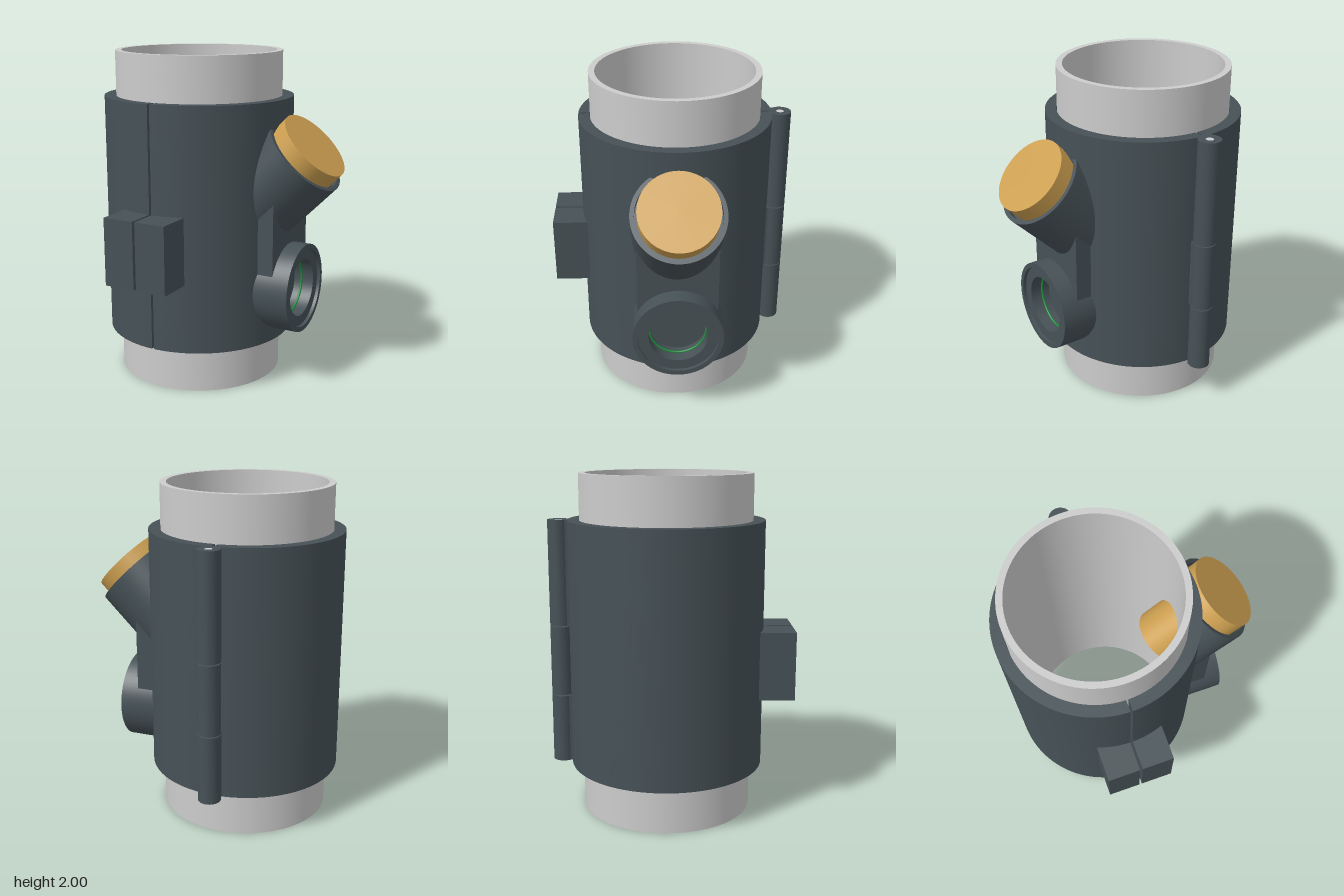
import * as THREE from 'three';
import { toCreasedNormals } from 'three/addons/utils/BufferGeometryUtils.js';

const CX = -0.18, CZ = -0.03; // main pipe axis
const material = (name, color) => {
  const m = new THREE.MeshStandardMaterial({ color, side: THREE.DoubleSide });
  m.name = name;
  return m;
};

export function createModel() {
  const model = new THREE.Group();
  model.name = 'pipeSaddleClamp';
  const pipeGrey = material('pipe grey', 0xcccccc);
  const slate = material('dark slate', 0x465156);
  const brass = material('brass', 0xcc9f50);
  const green = material('seal green', 0x1f8a3c);

  const add = (name, geometry, mat, x = 0, y = 0, z = 0, parent = model) => {
    const mesh = new THREE.Mesh(geometry, mat);
    mesh.name = name;
    mesh.position.set(x, y, z);
    parent.add(mesh);
    return mesh;
  };
  const crease = (g) => toCreasedNormals(g, 0.6);
  const lathe = (pts, n = 64) =>
    crease(new THREE.LatheGeometry(pts.map(([r, y]) => new THREE.Vector2(r, y)), n));
  // Hollow cylinder standing on y0
  const tube = (ro, ri, y0, y1, n) =>
    lathe([[ri, y0], [ro, y0], [ro, y1], [ri, y1], [ri, y0]], n);

  // Main pipe
  add('mainPipe', tube(0.505, 0.468, 0, 2, 96), pipeGrey, CX, 0, CZ);

  // Two clamp half shells with a narrow slit at front and back, and closing lugs
  for (const side of [1, -1]) {
    const label = side > 0 ? 'left' : 'right';
    const gap = 0.007, ro = 0.575, ri = 0.507;
    const turn = side > 0 ? 0 : Math.PI;
    const ao = Math.PI / 2 - gap / ro, ai = Math.PI / 2 - gap / ri;
    const half = new THREE.Shape();
    half.absarc(0, 0, ro, turn - ao, turn + ao, false);
    half.absarc(0, 0, ri, turn + ai, turn - ai, true);
    half.closePath();
    const shell = new THREE.ExtrudeGeometry(half, { depth: 1.46, bevelEnabled: false, curveSegments: 64 });
    shell.rotateX(-Math.PI / 2);
    add(label + 'ClampHalf', crease(shell), slate, CX, 0.272, CZ);
    add(label + 'Lug', new THREE.BoxGeometry(0.193, 0.405, 0.235), slate,
      CX + side * (0.008 + 0.0965), 0.895, 0.6025);
  }

  // Hinge: three knuckles on a pin, each with a small leaf to the shell
  const hingeZ = -0.656;
  [[0.272, 0.68], [0.687, 1.103], [1.11, 1.732]].forEach(([y0, y1], i) => {
    add('hingeKnuckle' + (i + 1), tube(0.066, 0.023, y0, y1, 32), slate, CX, 0, hingeZ);
    const s = i === 1 ? 1 : -1;
    add('hingeLeaf' + (i + 1), new THREE.BoxGeometry(0.05, y1 - y0, 0.03), slate,
      CX + s * 0.028, (y0 + y1) / 2, -0.602);
  });
  add('hingePin', new THREE.CylinderGeometry(0.023, 0.023, 1.458, 24), pipeGrey, CX, 1.002, hingeZ);

  // Horizontal outlet socket with stepped bore
  const socket = lathe([[0.27, 0.31], [0.27, 0.545], [0.24, 0.545], [0.24, 0.525],
    [0.175, 0.525], [0.175, 0.4], [0, 0.4]]);
  socket.rotateZ(-Math.PI / 2);
  add('outletSocket', socket, slate, 0, 0.6, CZ);
  const seal = new THREE.TorusGeometry(0.171, 0.007, 10, 64);
  seal.rotateY(Math.PI / 2);
  add('outletSeal', seal, green, 0.45, 0.6, CZ);

  // Web joining outlet and angled branch, its lower edge following the socket
  const web = new THREE.Shape();
  const a = Math.acos(0.24 / 0.265);
  web.moveTo(0.24, 0.57);
  web.lineTo(-0.24, 0.57);
  web.absarc(0, 0, 0.265, Math.PI - a, a, true);
  web.closePath();
  const webGeo = new THREE.ExtrudeGeometry(web, { depth: 0.13, bevelEnabled: false, curveSegments: 24 });
  webGeo.rotateY(Math.PI / 2);
  add('web', crease(webGeo), slate, 0.31, 0.6, CZ);

  // Angled branch: local y runs along its axis, origin at the mouth
  const branch = new THREE.Group();
  branch.name = 'angledBranch';
  branch.position.set(0.53, 1.42, CZ);
  branch.rotation.z = -Math.PI / 4;
  model.add(branch);

  // Slide the lower rim along the axis so it ends on a vertical plane inside the shell
  const wall = new THREE.CylinderGeometry(0.27, 0.27, 1, 64, 1, true);
  const p = wall.attributes.position;
  for (let i = 0; i < p.count; i++) {
    p.setY(i, p.getY(i) > 0 ? 0 : -0.311 - p.getX(i));
  }
  add('branchWall', wall, slate, 0, 0, 0, branch);
  add('branchRim', lathe([[0.27, 0], [0.245, 0], [0.245, -0.04], [0.15, -0.04]]), slate, 0, 0, 0, branch);

  // Brass cap and the plug that reaches into the pipe
  add('cap', new THREE.CylinderGeometry(0.23, 0.23, 0.122, 64), brass, 0, 0.0215, 0, branch);
  add('plug', new THREE.CylinderGeometry(0.167, 0.167, 0.455, 64), brass, 0, -0.2275, 0, branch);

  return model;
}
